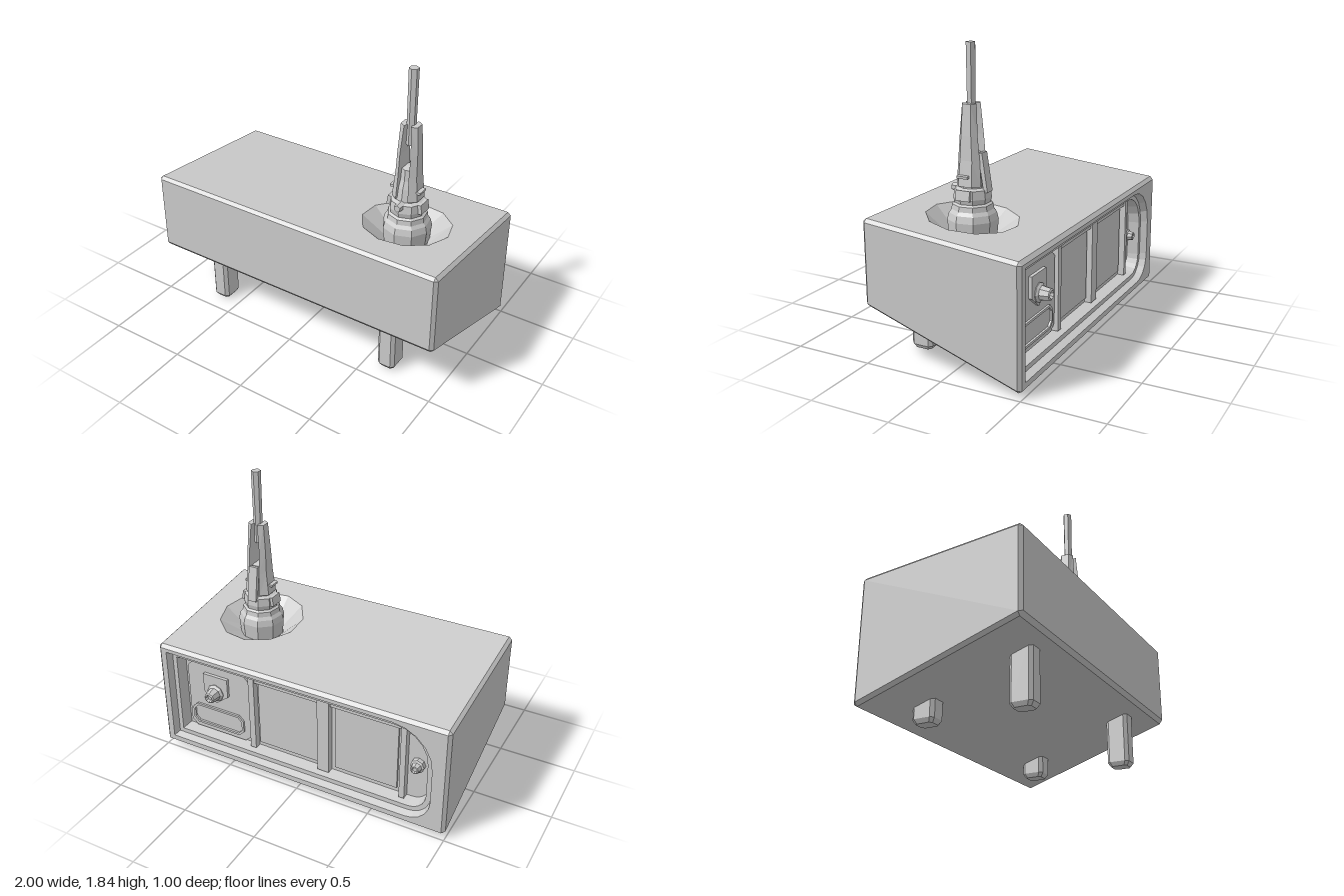
import * as THREE from 'three';
import { ConvexGeometry } from 'three/addons/geometries/ConvexGeometry.js';

const mat = new THREE.MeshStandardMaterial({ color: 0xcccccc, flatShading: true, side: THREE.DoubleSide });
const topY = z => 0.83 + 0.1 * z;
const bottomY = z => 0.195 + 0.33 * z;
const BEVEL = 0.02, AX = 0.555, AZ = 0.04;

function add(parent, name, geo, x = 0, y = 0, z = 0) {
  const mesh = new THREE.Mesh(geo, mat);
  mesh.name = name;
  mesh.position.set(x, y, z);
  parent.add(mesh);
  return mesh;
}

// Skin joining closed loops that all have the same number of points
function loft(loops) {
  const n = loops[0].length, index = [];
  for (let r = 0; r < loops.length - 1; r++)
    for (let i = 0; i < n; i++) {
      const a = r * n + i, b = r * n + (i + 1) % n;
      index.push(a, b, b + n, a, b + n, a + n);
    }
  const geo = new THREE.BufferGeometry().setFromPoints(loops.flat());
  geo.setIndex(index);
  geo.computeVertexNormals();
  return geo;
}

const polygon = pts => new THREE.Shape(pts.map(p => new THREE.Vector2(...p)));
const circle = (n, r) => Array.from({ length: n }, (_, i) =>
  [AX + r * Math.cos(i / n * 2 * Math.PI), AZ + r * Math.sin(i / n * 2 * Math.PI)]);
const lathe = (pts, n) => new THREE.LatheGeometry(pts.map(p => new THREE.Vector2(...p)), n);

// Rectangle with cut corners
function cutRect(w, h, c) {
  const x = w / 2, y = h / 2;
  return [[x - c, -y], [x, -y + c], [x, y - c], [x - c, y], [-x + c, y], [-x, y - c], [-x, -y + c], [-x + c, -y]];
}

// Outline of the opening in the back, rounded at one end
function opening(i) {
  const x0 = -0.9 + i, x1 = 0.94 - i, y0 = 0.085 + i, y1 = 0.735 - i, R = 0.26 - i, r = 0.16 - i;
  const arc = (cx, cy, rad, start) => Array.from({ length: 6 }, (_, k) => {
    const a = start + k / 5 * Math.PI / 2;
    return [cx + rad * Math.cos(a), cy + rad * Math.sin(a)];
  });
  return [[x1, y0], [x1, y1], ...arc(x0 + R, y1 - R, R, Math.PI / 2), ...arc(x0 + r, y0 + r, r, Math.PI)];
}

function buildCase(group) {
  // Chamfered wedge, open on the top and back
  const pts = [];
  for (const sx of [-1, 1]) for (const sz of [-1, 1])
    for (const [edge, d] of [[topY, -BEVEL], [bottomY, BEVEL]]) {
      const zi = sz * (0.5 - BEVEL), xi = sx * (1 - BEVEL);
      pts.push(new THREE.Vector3(sx, edge(zi) + d, zi), new THREE.Vector3(xi, edge(zi), zi),
        new THREE.Vector3(xi, edge(sz * 0.5) + d, sz * 0.5));
    }
  const hull = new ConvexGeometry(pts), p = hull.attributes.position, n = hull.attributes.normal, kept = [];
  for (let i = 0; i < p.count; i += 3)
    if (n.getZ(i) > -0.99 && n.getY(i) < 0.98)
      for (let k = 0; k < 3; k++) kept.push(new THREE.Vector3().fromBufferAttribute(p, i + k));
  const shell = new THREE.BufferGeometry().setFromPoints(kept);
  shell.computeVertexNormals();
  add(group, 'caseShell', shell);

  // Sloping top with a round opening
  const e = 1 - BEVEL, f = 0.5 - BEVEL;
  const top = polygon([[-e, -f], [e, -f], [e, f], [-e, f]]);
  top.holes.push(polygon(circle(11, 0.275).map(([x, z]) => [x, -z])));
  const topGeo = new THREE.ShapeGeometry(top), tp = topGeo.attributes.position;
  for (let i = 0; i < tp.count; i++) tp.setXYZ(i, tp.getX(i), topY(-tp.getY(i)), -tp.getY(i));
  topGeo.computeVertexNormals();
  add(group, 'caseTop', topGeo);
  const rim = circle(11, 0.275).map(([x, z]) => new THREE.Vector3(x, topY(z), z));
  const low = circle(11, 0.14).map(([x, z]) => new THREE.Vector3(x, 0.73, z));
  add(group, 'antennaWell', loft([rim, low]));

  // Back wall with its stepped recess
  const b0 = bottomY(-0.5) + BEVEL, b1 = topY(-0.5) - BEVEL;
  const back = polygon([[-e, b0], [e, b0], [e, b1], [-e, b1]]);
  back.holes.push(polygon(opening(0)));
  add(group, 'caseBack', new THREE.ShapeGeometry(back), 0, 0, -0.5);
  const loops = [[0, -0.5], [0.015, -0.455], [0.045, -0.455], [0.06, -0.38]].map(([i, z]) =>
    opening(i).map(([x, y]) => new THREE.Vector3(x, y, z)));
  add(group, 'recessWall', loft(loops));
  add(group, 'recessFloor', new THREE.ShapeGeometry(polygon(opening(0.06))), 0, 0, -0.38);
}

function dial(group, name, x, y, r, length) {
  const body = add(group, name, lathe([[r, 0], [r, length * 0.4], [r * 0.75, length * 0.5], [r * 0.6, length * 0.95],
    [r * 0.45, length], [r * 0.3, length * 0.85], [0, length * 0.85]], 8), x, y, -0.38);
  body.rotation.x = -Math.PI / 2;
}

function buildBackPanel(group) {
  const plate = (name, shape, d, x, y, z) => add(group, name,
    new THREE.ExtrudeGeometry(shape, { depth: d, bevelEnabled: false }), x, y, z);
  // Upright dividers and window plates
  for (const [x, w] of [[0.36, 0.04], [-0.15, 0.08], [-0.685, 0.035]])
    add(group, 'divider', new THREE.BoxGeometry(w, 0.53, 0.05), x, 0.41, -0.4);
  for (const x of [0.115, -0.43]) {
    add(group, 'windowPlate', new THREE.BoxGeometry(0.42, 0.45, 0.02), x, 0.405, -0.385);
    add(group, 'windowTopBar', new THREE.BoxGeometry(0.47, 0.03, 0.04), x, 0.655, -0.395);
  }
  // Control plate with a dial and a framed slot
  plate('controlPlate', polygon(cutRect(0.46, 0.5, 0.04)), 0.025, 0.62, 0.41, -0.405);
  plate('dialPlate', polygon([[-0.09, 0.1], [-0.09, -0.03], [0, -0.1], [0.09, -0.03], [0.09, 0.1]]), 0.02, 0.63, 0.5, -0.425);
  const frame = polygon(cutRect(0.39, 0.15, 0.035));
  frame.holes.push(polygon(cutRect(0.36, 0.12, 0.028)));
  plate('slotFrame', frame, 0.015, 0.63, 0.27, -0.418);
  dial(group, 'largeDial', 0.63, 0.48, 0.06, 0.125);
  dial(group, 'smallDial', -0.77, 0.4, 0.045, 0.07);
}

function buildAntenna(group) {
  const g = new THREE.Group();
  g.name = 'antenna';
  g.position.set(AX, 0, AZ);
  group.add(g);
  // Stacked base and tapering collar
  add(g, 'base', lathe([[0.14, 0.72], [0.15, 0.83], [0.14, 0.87], [0.125, 0.89], [0.12, 0.92], [0.105, 0.93],
    [0.112, 0.96], [0.105, 1.01], [0.08, 1.02], [0.07, 1.1], [0.055, 1.15], [0.05, 1.22], [0, 1.23]], 9));
  // Side fins and front stud
  for (const s of [-1, 1]) {
    add(g, 'sideTab', new THREE.BoxGeometry(0.05, 0.015, 0.07), s * 0.075, 1.09, 0.01).rotation.z = -s * 0.1;
    add(g, 'footBlock', new THREE.BoxGeometry(0.08, 0.06, 0.09), s * 0.075, 0.98, 0).rotation.z = s * 0.15;
  }
  const stud = add(g, 'stud', new THREE.CylinderGeometry(0.022, 0.03, 0.06, 6), 0, 1.0, 0.1);
  stud.rotation.x = Math.PI / 2;
  const rear = add(g, 'rearFin', new THREE.BoxGeometry(0.06, 0.23, 0.025), 0, 1.11, -0.085);
  rear.rotation.x = 0.15;

  // Pair of tall tapered prongs: height, inner x, outer x, half depth
  const rows = [[1.03, 0.04, 0.085, 0.08], [1.18, 0.035, 0.07, 0.07], [1.32, 0.035, 0.066, 0.058], [1.5, 0.022, 0.055, 0.047]];
  for (const s of [-1, 1]) {
    const loops = rows.map(([y, a, b, d]) => [[a, -d], [b, -d * 0.55], [b, d * 0.55], [a, d], [a - 0.012, 0]]
      .map(([x, z]) => new THREE.Vector3(s * x, y, z)));
    const cap = loops[3].map(() => new THREE.Vector3(s * 0.035, 1.5, 0));
    add(g, 'prong', loft([...loops, cap]));
  }
  add(g, 'rod', new THREE.CylinderGeometry(0.03, 0.027, 0.47, 6), 0, 1.605, 0);
}

function buildLegs(group) {
  for (const x of [-0.64, 0.64])
    for (const [name, z, top] of [['frontLeg', 0.33, 0.33], ['backLeg', -0.265, 0.15]]) {
      const loops = [[1, top], [1, 0.025], [0.75, 0], [0, 0]].map(([k, y]) =>
        cutRect(0.115 * k, 0.14 * k, 0.02 * k).map(([a, b]) => new THREE.Vector3(a, y, b)));
      add(group, name, loft(loops), x, 0, z);
    }
}

export function createModel() {
  const group = new THREE.Group();
  group.name = 'radioUnit';
  buildCase(group);
  buildBackPanel(group);
  buildAntenna(group);
  buildLegs(group);
  return group;
}
